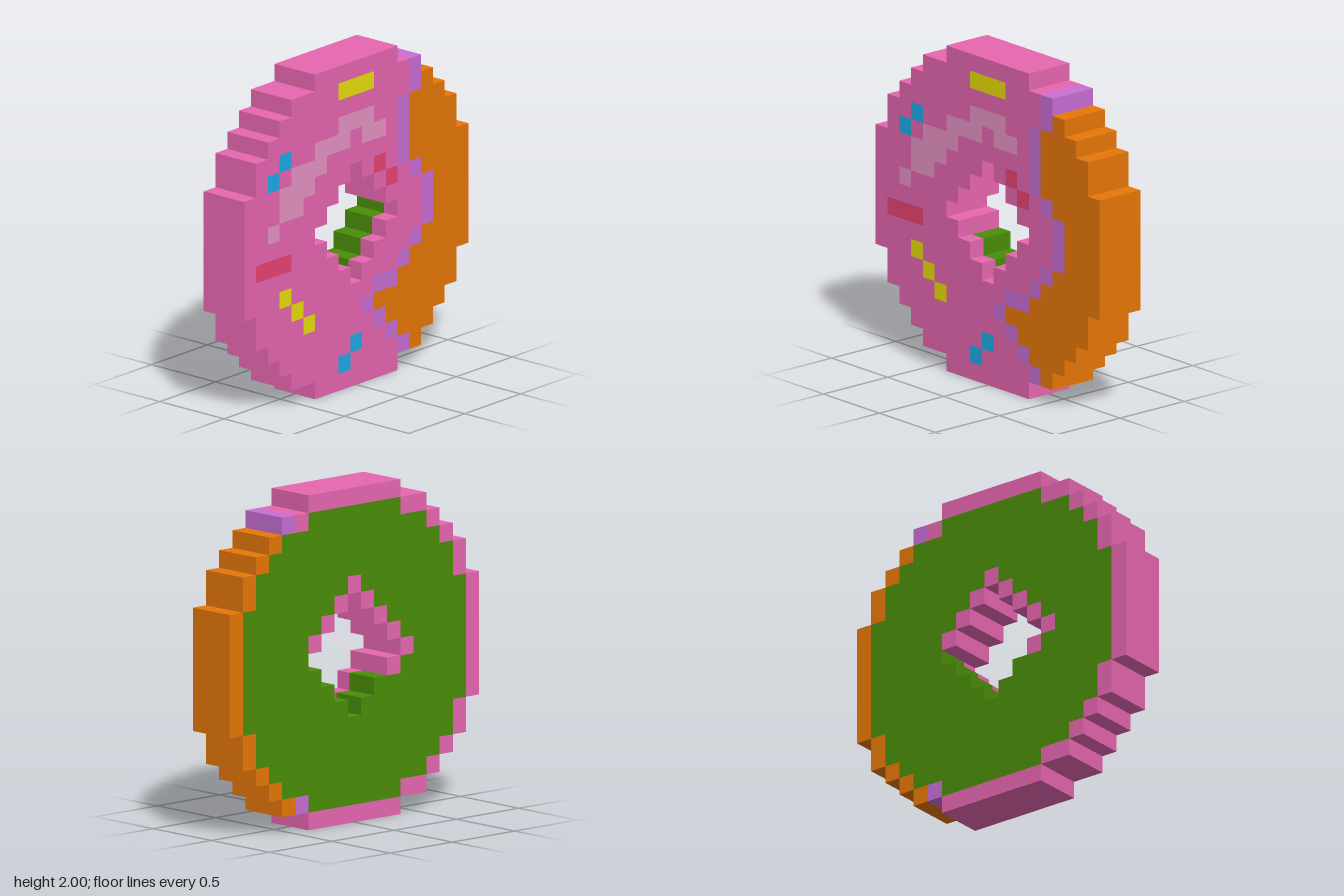
import * as THREE from 'three';

const N = 19, LAYERS = 3, S = 2 / N;

const mat = (name, color) => {
  const m = new THREE.MeshStandardMaterial({ color });
  m.name = name;
  return m;
};

// Half-widths in cells: outer ring (per row, top half mirrored) and hole (rows 6 to 12)
const OUTER = [3, 5, 6, 7, 8, 8, 9, 9, 9, 9];
const outerHalf = (r) => OUTER[Math.min(r, N - 1 - r)];
const holeHalf = (r) => 3 - Math.abs(r - 9);

const inOutline = (c, r) => r >= 0 && r < N && Math.abs(c - 9) <= outerHalf(r);
const inHole = (c, r) => Math.abs(c - 9) <= holeHalf(r);
const solid = (c, r, l) => l >= 0 && l < LAYERS && inOutline(c, r) && !inHole(c, r);
const touches = (c, r, test) => test(c - 1, r) || test(c + 1, r) || test(c, r - 1) || test(c, r + 1);

// Spans on the decorated face: [row, first column, last column]
const SPANS = {
  bun: [[2, 15, 15], [3, 14, 16], [4, 14, 17], [5, 14, 17], [6, 14, 18], [7, 15, 18], [8, 16, 18],
    [9, 16, 18], [10, 16, 18], [11, 15, 18], [12, 14, 18], [13, 13, 17], [14, 11, 17],
    [15, 12, 16], [16, 13, 15], [17, 14, 14]],
  icingEdge: [[1, 14, 14], [2, 14, 14], [3, 13, 13], [4, 13, 13], [5, 13, 13], [6, 13, 13],
    [7, 14, 14], [8, 15, 15], [9, 15, 15], [10, 15, 15], [11, 14, 14], [12, 13, 13],
    [13, 11, 12], [14, 10, 10], [15, 11, 11], [16, 12, 12], [17, 13, 13]],
  icingShine: [[3, 8, 10], [4, 6, 8], [4, 10, 11], [5, 4, 6], [6, 3, 5], [7, 3, 4], [8, 2, 2]],
  yellowSprinkles: [[1, 8, 10], [12, 3, 3], [13, 4, 4], [14, 5, 5]],
  blueSprinkles: [[4, 3, 3], [5, 2, 2], [16, 9, 9], [17, 8, 8]],
  redSprinkles: [[6, 11, 11], [7, 12, 12], [10, 1, 3]],
};

const MATERIALS = {
  icing: mat('pink icing', 0xfb70c0),
  bun: mat('orange dough', 0xfa8108),
  icingEdge: mat('purple icing edge', 0xc86ed4),
  icingShine: mat('pale pink shine', 0xfba0d5),
  yellowSprinkles: mat('yellow sprinkle', 0xfbf008),
  blueSprinkles: mat('blue sprinkle', 0x1eb2f0),
  redSprinkles: mat('red sprinkle', 0xfb497e),
  underside: mat('green underside', 0x4a8e08),
};

// Part shown by a cell of the decorated face
function facePart(c, r) {
  for (const [part, spans] of Object.entries(SPANS)) {
    if (spans.some(([row, a, b]) => row === r && c >= a && c <= b)) return part;
  }
  return 'icing';
}

// The front layer and outer rim follow the face; the rest is green, with icing partly lining the hole
function partAt(c, r, l) {
  if (l === 0 || touches(c, r, (x, y) => !inOutline(x, y))) return facePart(c, r);
  const lined = touches(c, r, inHole) && r < (c >= 9 ? 9 : 11);
  return lined ? 'icing' : 'underside';
}

// Directions in (layer, row, column) steps; +layer = -x, +row = -y, +column = -z
const DIRS = [[1, 0, 0], [-1, 0, 0], [0, 1, 0], [0, -1, 0], [0, 0, 1], [0, 0, -1]];

// Adds the square of a cell that faces the given direction
function addSquare(out, l, r, c, [dl, dr, dc]) {
  const n = new THREE.Vector3(-dl, -dr, -dc);
  const u = new THREE.Vector3(n.y, n.z, n.x);
  const v = new THREE.Vector3().crossVectors(n, u);
  const centre = new THREE.Vector3((1 - l) * S, 2 - (r + 0.5) * S, (9 - c) * S).addScaledVector(n, S / 2);
  const corner = (a, b) => centre.clone().addScaledVector(u, a * S / 2).addScaledVector(v, b * S / 2);
  const p = [corner(-1, -1), corner(1, -1), corner(1, 1), corner(-1, 1)];
  for (const i of [0, 1, 2, 0, 2, 3]) {
    out.positions.push(p[i].x, p[i].y, p[i].z);
    out.normals.push(n.x, n.y, n.z);
  }
}

export function createModel() {
  const group = new THREE.Group();
  group.name = 'blockDoughnut';

  const parts = {};
  for (const name of Object.keys(MATERIALS)) parts[name] = { positions: [], normals: [] };

  // Only the exposed sides of each block are built
  for (let l = 0; l < LAYERS; l++) {
    for (let r = 0; r < N; r++) {
      for (let c = 0; c < N; c++) {
        if (!solid(c, r, l)) continue;
        const out = parts[partAt(c, r, l)];
        for (const d of DIRS) {
          if (!solid(c + d[2], r + d[1], l + d[0])) addSquare(out, l, r, c, d);
        }
      }
    }
  }

  for (const [name, { positions, normals }] of Object.entries(parts)) {
    const geometry = new THREE.BufferGeometry();
    geometry.setAttribute('position', new THREE.Float32BufferAttribute(positions, 3));
    geometry.setAttribute('normal', new THREE.Float32BufferAttribute(normals, 3));
    const mesh = new THREE.Mesh(geometry, MATERIALS[name]);
    mesh.name = name;
    group.add(mesh);
  }
  return group;
}
